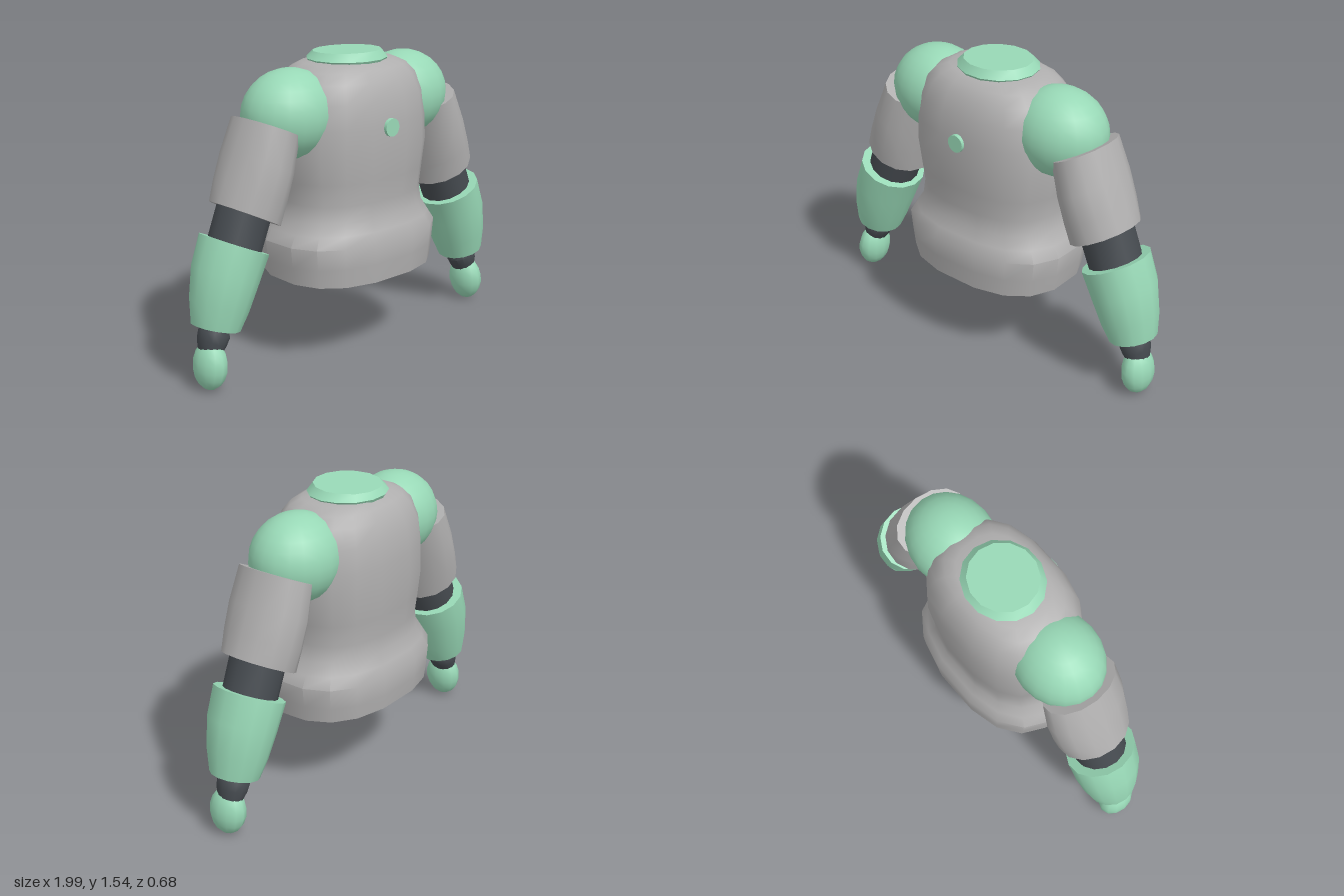
import * as THREE from 'three';
import { toCreasedNormals } from 'three/addons/utils/BufferGeometryUtils.js';

const armorGreen = new THREE.MeshStandardMaterial({ color: 0x98d8b6 });
const shellGrey = new THREE.MeshStandardMaterial({ color: 0xb0afaf });
const jointDark = new THREE.MeshStandardMaterial({ color: 0x464b50 });

// Capped loft through rings listed from bottom to top.
// ring: [centre x, centre y, angle of the cut in the xy plane, half width, half depth, slope along z]
// power 2 gives ellipses, higher values boxier sections; side -1 mirrors in x.
function loft(rings, { sides = 14, power = 2, side = 1, phase = 0 } = {}) {
  const pos = [], idx = [];
  const tri = (a, b, c) => (side > 0 ? idx.push(a, b, c) : idx.push(a, c, b));
  const round = v => Math.sign(v) * Math.abs(v) ** (2 / power);
  const addRing = ([cx, cy, angle, ru, rz, slope = 0]) => {
    const start = pos.length / 3;
    for (let j = 0; j < sides; j++) {
      const t = ((j + phase) / sides) * Math.PI * 2;
      const u = ru * round(Math.cos(t)), z = rz * round(Math.sin(t));
      pos.push(side * (cx + u * Math.cos(angle)), cy + u * Math.sin(angle) + slope * z, z);
    }
    return start;
  };
  const starts = rings.map(addRing);
  for (let i = 0; i < rings.length - 1; i++) {
    for (let j = 0; j < sides; j++) {
      const k = (j + 1) % sides;
      const a = starts[i] + j, b = starts[i] + k, c = starts[i + 1] + k, d = starts[i + 1] + j;
      tri(a, d, b);
      tri(b, d, c);
    }
  }
  // End caps with their own vertices
  [rings[0], rings[rings.length - 1]].forEach((ring, end) => {
    const start = addRing(ring), centre = pos.length / 3;
    pos.push(side * ring[0], ring[1], 0);
    for (let j = 0; j < sides; j++) {
      const k = (j + 1) % sides;
      if (end === 0) tri(centre, start + j, start + k);
      else tri(centre, start + k, start + j);
    }
  });
  const geo = new THREE.BufferGeometry();
  geo.setAttribute('position', new THREE.Float32BufferAttribute(pos, 3));
  geo.setIndex(idx);
  return toCreasedNormals(geo, 0.75);
}

function add(parent, name, geometry, material) {
  const mesh = new THREE.Mesh(geometry, material);
  mesh.name = name;
  parent.add(mesh);
  return mesh;
}

function ellipsoid(rx, ry, rz, segments, rows) {
  return new THREE.SphereGeometry(1, segments, rows).scale(rx, ry, rz);
}

function buildArm(side) {
  const arm = new THREE.Group();
  arm.name = side > 0 ? 'leftArm' : 'rightArm';
  const opts = { sides: 14, side };

  // Rounded shoulder pad, partly sunk into the torso
  add(arm, 'shoulder', ellipsoid(0.25, 0.222, 0.215, 20, 14), armorGreen)
    .position.set(side * 0.39, 1.267, 0);

  add(arm, 'upperArm', loft([
    [0.68, 0.825, 0.47, 0.174, 0.19],
    [0.645, 0.93, 0.46, 0.167, 0.205],
    [0.6, 1.06, 0.45, 0.157, 0.213],
    [0.543, 1.228, 0.44, 0.141, 0.2],
  ], opts), shellGrey);

  add(arm, 'elbow', loft([
    [0.765, 0.64, 0.44, 0.135, 0.135],
    [0.68, 0.85, 0.44, 0.138, 0.135],
  ], opts), jointDark);

  add(arm, 'forearm', loft([
    [0.875, 0.305, 0.26, 0.12, 0.125],
    [0.85, 0.41, 0.33, 0.145, 0.153],
    [0.81, 0.55, 0.4, 0.164, 0.175],
    [0.75, 0.69, 0.43, 0.171, 0.182],
  ], opts), armorGreen);

  add(arm, 'wrist', loft([
    [0.915, 0.19, 0.4, 0.055, 0.065],
    [0.9, 0.235, 0.4, 0.072, 0.078],
    [0.883, 0.275, 0.4, 0.08, 0.08],
    [0.87, 0.33, 0.4, 0.055, 0.055],
  ], opts), jointDark);

  // Simple mitten hand
  const hand = add(arm, 'hand', ellipsoid(0.075, 0.122, 0.1, 12, 9), armorGreen);
  hand.position.set(side * 0.921, 0.124, 0.01);
  hand.rotation.z = side * 0.08;
  return arm;
}

export function createModel() {
  const model = new THREE.Group();
  model.name = 'armoredTorso';

  // Torso with flared hip skirt, waist and rounded chest
  add(model, 'torso', loft([
    [0, 0.435, 0, 0.455, 0.333, -0.035],
    [0, 0.52, 0, 0.468, 0.34],
    [0, 0.625, 0, 0.48, 0.345],
    [0, 0.68, 0, 0.445, 0.318],
    [0, 0.74, 0, 0.407, 0.29],
    [0, 0.82, 0, 0.392, 0.286],
    [0, 0.93, 0, 0.405, 0.298],
    [0, 1.06, 0, 0.424, 0.307],
    [0, 1.2, 0, 0.418, 0.305],
    [0, 1.32, 0, 0.403, 0.292],
    [0, 1.41, 0, 0.365, 0.258],
    [0, 1.46, 0, 0.315, 0.222],
    [0, 1.487, 0, 0.25, 0.18],
    [0, 1.495, 0, 0.15, 0.12],
  ], { sides: 16, power: 2.5, phase: 0.5 }), shellGrey);

  // Bevelled collar cap
  add(model, 'collar', loft([
    [0, 1.48, 0, 0.2, 0.185],
    [0, 1.498, 0, 0.212, 0.195],
    [0, 1.534, 0, 0.176, 0.168, 0.03],
  ], { sides: 14 }), armorGreen).position.z = -0.005;

  // Chest button
  add(model, 'chestButton',
    new THREE.CylinderGeometry(0.045, 0.045, 0.02, 20).rotateX(Math.PI / 2), armorGreen)
    .position.set(0, 1.187, 0.307);

  for (const side of [1, -1]) model.add(buildArm(side));
  return model;
}
